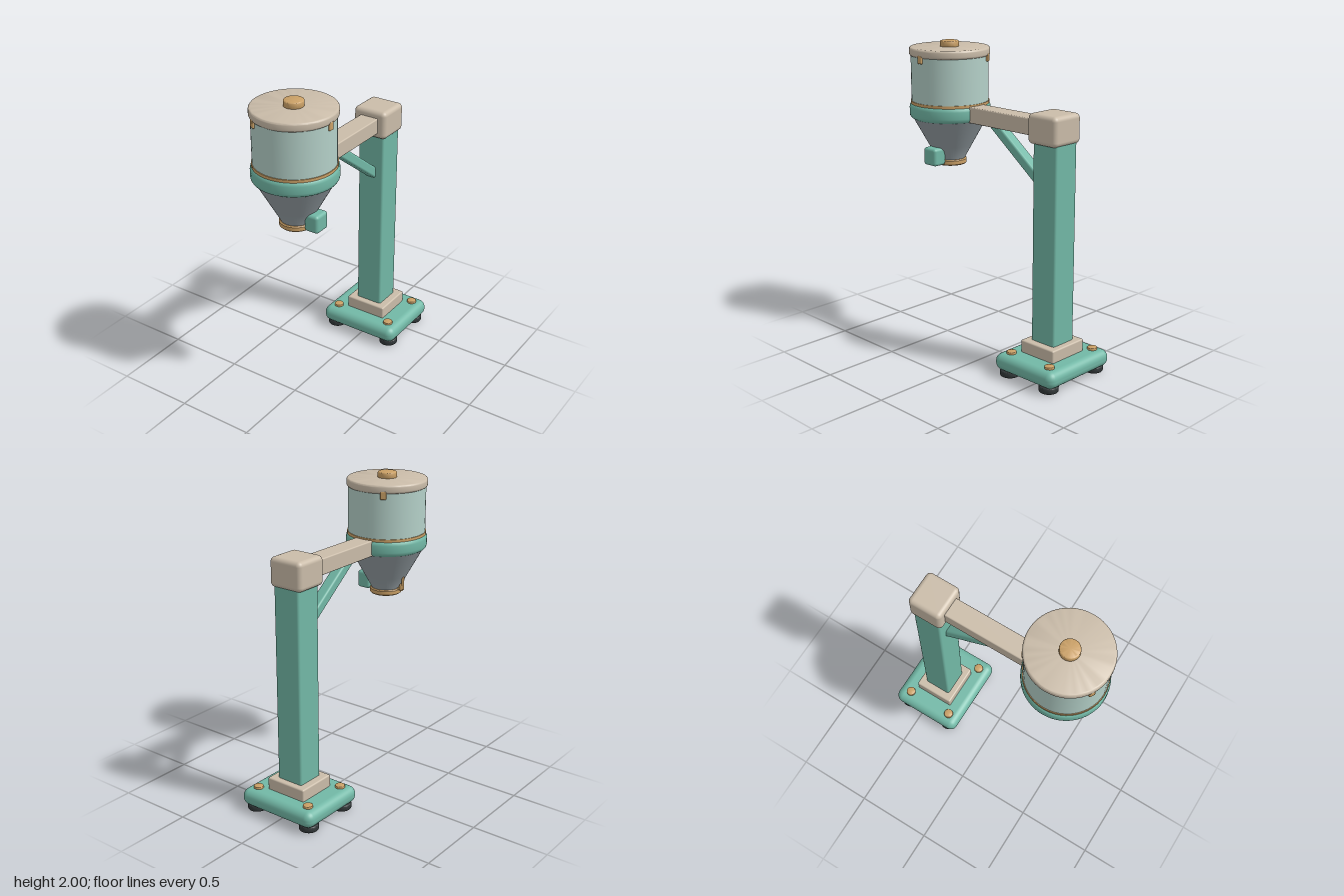
import * as THREE from 'three';
import { RoundedBoxGeometry } from 'three/addons/geometries/RoundedBoxGeometry.js';
import { toCreasedNormals } from 'three/addons/utils/BufferGeometryUtils.js';

const mat = (name, color, side = THREE.FrontSide) => {
  const m = new THREE.MeshStandardMaterial({ color, side });
  m.name = name;
  return m;
};

export function createModel() {
  const root = new THREE.Group();
  root.name = 'hopperStand';

  const teal = mat('teal paint', 0x72b8a6);
  const beige = mat('beige paint', 0xcabca9);
  const brass = mat('brass', 0xcaa066);
  const glass = mat('pale green glass', 0xb4d0c8);
  const steel = mat('grey steel', 0x939da2, THREE.DoubleSide);
  const rubber = mat('dark rubber', 0x303637);

  const add = (name, geometry, material, x, y, z, parent = root) => {
    const mesh = new THREE.Mesh(geometry, material);
    mesh.name = name;
    mesh.position.set(x, y, z);
    parent.add(mesh);
    return mesh;
  };
  const box = (w, h, d, r) => new RoundedBoxGeometry(w, h, d, 4, r);
  const lathe = (pts) => toCreasedNormals(
    new THREE.LatheGeometry(pts.map(([r, y]) => new THREE.Vector2(r, y)), 48), 0.6);

  // Disc with rounded rims, standing on y = 0
  const disc = (r, h, b) => {
    const pts = [[0, 0]];
    for (let i = 0; i <= 4; i++) {
      const a = (i / 4) * Math.PI / 2;
      pts.push([r - b + b * Math.sin(a), b - b * Math.cos(a)]);
    }
    for (let i = 0; i <= 4; i++) {
      const a = (i / 4) * Math.PI / 2;
      pts.push([r - b + b * Math.cos(a), h - b + b * Math.sin(a)]);
    }
    pts.push([0, h]);
    return lathe(pts);
  };

  // Base with feet and bolts
  const baseZ = -0.462;
  add('base', box(0.56, 0.11, 0.486, 0.05), teal, 0, 0.09, baseZ);
  for (const sx of [-1, 1]) for (const sz of [-1, 1]) {
    add('foot', disc(0.061, 0.04, 0.008), rubber, sx * 0.21, 0, baseZ + sz * 0.163);
    add('baseBolt', disc(0.031, 0.025, 0.004), brass, sx * 0.2, 0.135, baseZ + sz * 0.158);
  }
  add('plinth', box(0.286, 0.085, 0.268, 0.01), beige, 0, 0.182, baseZ);

  // Column, cap, arm and brace
  add('column', box(0.186, 1.3, 0.186, 0.015), teal, 0, 0.85, baseZ);
  add('columnCap', box(0.234, 0.184, 0.226, 0.03), beige, 0, 1.563, -0.453);
  add('arm', box(0.13, 0.103, 0.58, 0.008), beige, 0, 1.559, -0.07);
  const brace = add('brace', box(0.075, 0.064, 0.62, 0.014), teal, 0, 1.365, -0.178);
  brace.rotation.x = -0.655;

  // Hopper, built around its own vertical axis
  const hopper = new THREE.Group();
  hopper.name = 'hopper';
  hopper.position.z = 0.444;
  root.add(hopper);
  const part = (name, geo, m, x, y, z) => add(name, geo, m, x, y, z, hopper);

  part('lid', disc(0.258, 0.054, 0.014), beige, 0, 1.909, 0);
  part('lidKnob', disc(0.061, 0.045, 0.01), brass, 0, 1.955, 0);
  part('glassDrum', new THREE.CylinderGeometry(0.248, 0.248, 0.33, 48), glass, 0, 1.76, 0);
  part('brassBand', new THREE.CylinderGeometry(0.253, 0.253, 0.018, 48), brass, 0, 1.612, 0);
  part('collar', disc(0.261, 0.104, 0.03), teal, 0, 1.506, 0);
  part('cone', lathe([[0.088, 1.22], [0.092, 1.24], [0.14, 1.328], [0.243, 1.515]]), steel, 0, 0, 0);

  // Open outlet ring
  part('outletRing', lathe([
    [0.078, 1.212], [0.084, 1.203], [0.096, 1.203], [0.103, 1.21],
    [0.103, 1.234], [0.096, 1.241], [0.084, 1.241], [0.078, 1.234], [0.078, 1.212],
  ]), brass, 0, 0, 0);

  // Lid clips around the rim
  for (let i = 0; i < 3; i++) {
    const a = (i / 3) * Math.PI * 2;
    const clip = part('lidClip', box(0.024, 0.052, 0.037, 0.006), brass,
      Math.cos(a) * 0.247, 1.9, Math.sin(a) * 0.247);
    clip.rotation.y = -a;
  }

  // Vibrator box on one side, release lever on the other
  part('vibrator', box(0.097, 0.115, 0.113, 0.02), teal, 0.143, 1.27, 0);
  part('leverRod', new THREE.CapsuleGeometry(0.009, 0.075, 4, 12), brass, -0.135, 1.287, 0);
  part('leverKnob', new THREE.CapsuleGeometry(0.014, 0.022, 4, 12), brass, -0.124, 1.255, 0);
  const pin = part('leverPin', new THREE.CylinderGeometry(0.008, 0.008, 0.05, 12), brass, -0.105, 1.242, 0);
  pin.rotation.z = Math.PI / 2;

  return root;
}
